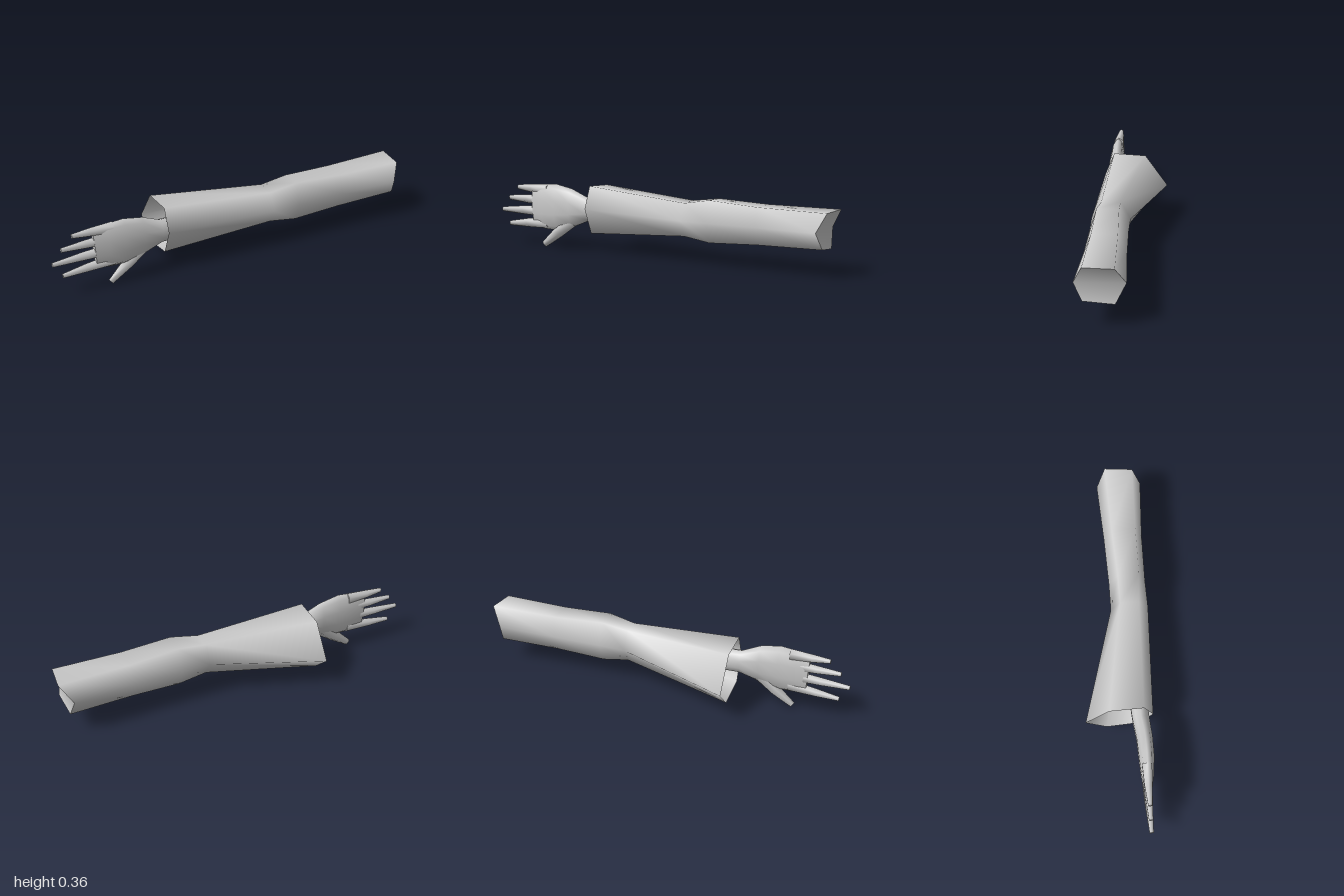
import * as THREE from 'three';

const skin = new THREE.MeshStandardMaterial({ color: 0xcccccc });
const cloth = new THREE.MeshStandardMaterial({ color: 0xcccccc, side: THREE.DoubleSide });

// Skin over a run of closed rings; an optional centre point closes either end.
function loft(name, material, rings, startCentre, endCentre) {
  const n = rings[0].length;
  const pos = rings.flat(2);
  const index = [];
  for (let i = 0; i < rings.length - 1; i++) {
    for (let j = 0; j < n; j++) {
      const k = (j + 1) % n;
      const a = i * n + j, b = i * n + k, c = a + n, d = b + n;
      index.push(a, c, b, b, c, d);
    }
  }
  const cap = (ring, centre, flip) => {
    const base = pos.length / 3;
    pos.push(...ring.flat(), ...centre);
    for (let j = 0; j < n; j++) {
      const a = base + j, b = base + (j + 1) % n;
      index.push(base + n, flip ? b : a, flip ? a : b);
    }
  };
  if (startCentre) cap(rings[0], startCentre, false);
  if (endCentre) cap(rings[rings.length - 1], endCentre, true);
  const geo = new THREE.BufferGeometry();
  geo.setAttribute('position', new THREE.Float32BufferAttribute(pos, 3));
  geo.setIndex(index);
  geo.computeVertexNormals();
  const mesh = new THREE.Mesh(geo, material);
  mesh.name = name;
  return mesh;
}

// Rounded limb through stations [x, y, z, half width, half thickness].
function limb(name, stations, sides) {
  const rings = stations.map(([x, y, z, w, t], i) => {
    const p = stations[Math.max(i - 1, 0)];
    const q = stations[Math.min(i + 1, stations.length - 1)];
    const ang = Math.atan2(q[1] - p[1], q[0] - p[0]);
    return Array.from({ length: sides }, (_, j) => {
      const a = (j / sides) * Math.PI * 2;
      const s = w * Math.cos(a);
      return [x - Math.sin(ang) * s, y + Math.cos(ang) * s, z - t * Math.sin(a)];
    });
  });
  const first = stations[0], last = stations[stations.length - 1];
  return loft(name, skin, rings, first.slice(0, 3), last.slice(0, 3));
}

export function createModel() {
  const model = new THREE.Group();

  // Six-sided sleeve: each ring lists z, y from top front, over the back, to front
  const section = (x, zy) => zy.map(([z, y]) => [x, y, z]);
  const sleeve = [
    section(-0.4, [[0.1, 0.36], [-0.075, 0.35], [-0.2, 0.175], [-0.09, 0.07], [0.09, 0.1], [0.15, 0.24]]),
    section(0.2, [[0.13, 0.312], [0.03, 0.315], [-0.02, 0.22], [0.03, 0.135], [0.13, 0.14], [0.18, 0.225]]),
    section(0.35, [[0.143, 0.338], [0.03, 0.335], [-0.018, 0.22], [0.04, 0.103], [0.14, 0.12], [0.178, 0.225]]),
    section(0.62, [[0.148, 0.322], [0.02, 0.322], [-0.024, 0.223], [0.025, 0.122], [0.15, 0.135], [0.184, 0.226]]),
    section(0.94, [[0.162, 0.32], [0.012, 0.323], [-0.038, 0.227], [0.013, 0.125], [0.163, 0.143], [0.205, 0.227]]),
  ];
  // The shoulder end is notched: corners stand out past the front and back points
  const reach = [0.985, 1, 0.94, 0.955, 0.965, 0.945];
  sleeve[4].forEach((p, i) => { p[0] = reach[i]; });
  model.add(loft('sleeve', cloth, sleeve, null, [0.94, 0.225, 0.083]));

  // Hand: wrist running into the sleeve, and a flat palm
  const hand = new THREE.Group();
  hand.name = 'hand';
  hand.add(limb('palm', [
    [0.1, 0.225, 0.08, 0.06, 0.055],
    [-0.3, 0.228, 0.082, 0.062, 0.05],
    [-0.42, 0.229, 0.085, 0.064, 0.046],
    [-0.52, 0.231, 0.094, 0.107, 0.043],
    [-0.62, 0.229, 0.095, 0.129, 0.041],
    [-0.71, 0.226, 0.092, 0.124, 0.034],
    [-0.78, 0.222, 0.09, 0.11, 0.022],
  ], 10));

  // Four tapering fingers: base y, tip x, tip y
  [
    ['littleFinger', 0.322, -0.89, 0.325],
    ['ringFinger', 0.263, -0.95, 0.262],
    ['middleFinger', 0.202, -1, 0.192],
    ['indexFinger', 0.138, -0.95, 0.115],
  ].forEach(([name, y, tx, ty]) => {
    const mx = (tx - 0.7) / 2, my = (y + ty) / 2;
    hand.add(limb(name, [
      [-0.68, y, 0.09, 0.033, 0.029],
      [mx, my, 0.087, 0.024, 0.022],
      [tx, ty, 0.087, 0.013, 0.012],
    ], 6));
  });

  // Thumb angled downwards
  hand.add(limb('thumb', [
    [-0.53, 0.165, 0.093, 0.045, 0.032],
    [-0.61, 0.093, 0.093, 0.032, 0.03],
    [-0.705, 0.016, 0.1, 0.018, 0.012],
  ], 6));
  model.add(hand);
  return model;
}
